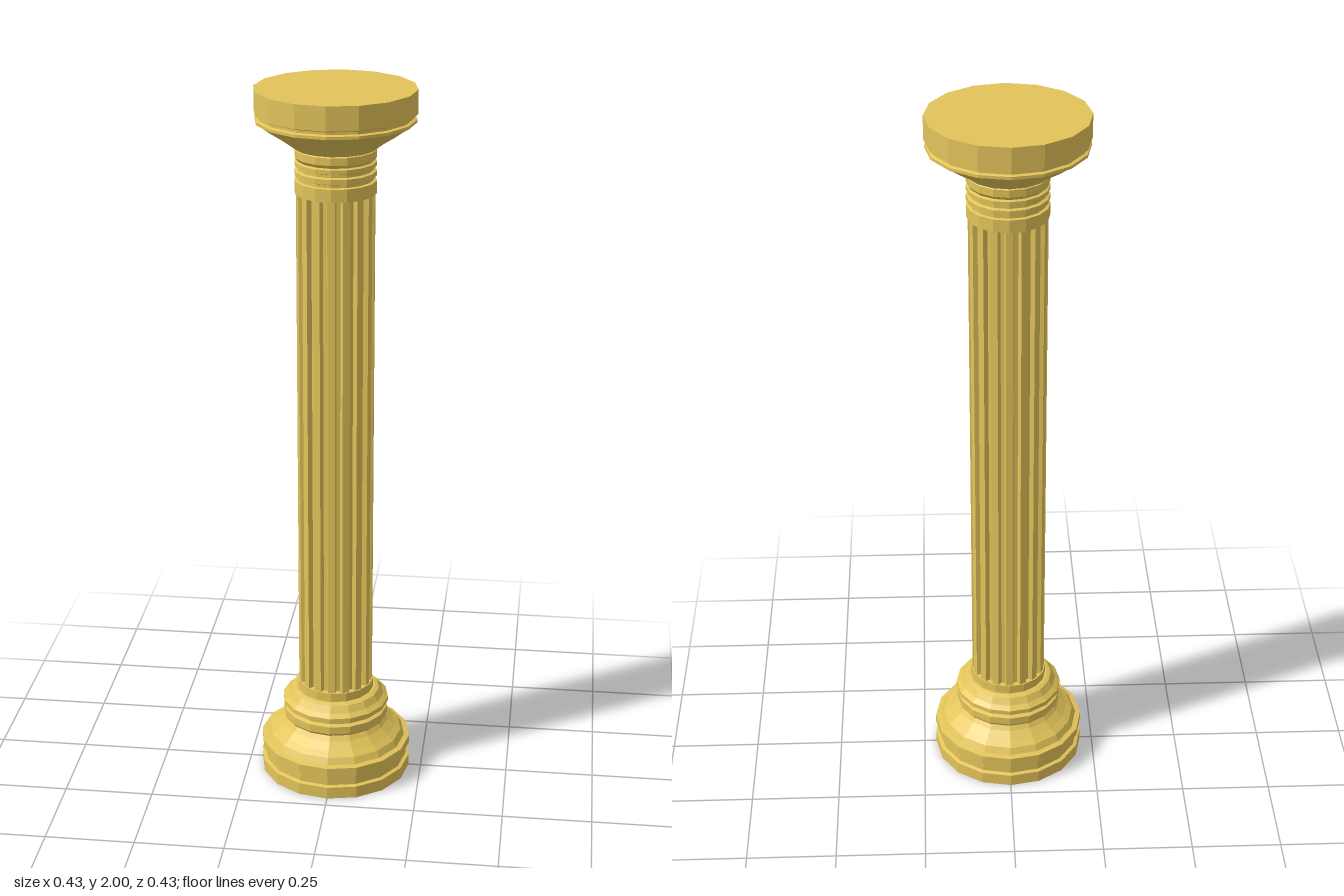
import * as THREE from 'three';

const SIDES = 16;
const gold = new THREE.MeshStandardMaterial({ color: 0xe3c45a, flatShading: true });

// Turned part from [radius, height] pairs, closed at both ends
function turned(name, profile) {
  const first = profile[0], last = profile[profile.length - 1];
  const points = [[0, first[1]], ...profile, [0, last[1]]].map(([r, y]) => new THREE.Vector2(r, y));
  const mesh = new THREE.Mesh(new THREE.LatheGeometry(points, SIDES), gold);
  mesh.name = name;
  return mesh;
}

// Shaft with a flat ridge and a shallow groove on each side
function flutedShaft(bottom, top, ridge, groove) {
  const shape = new THREE.Shape();
  const step = (Math.PI * 2) / SIDES;
  const section = [[-0.24, ridge], [0.24, ridge], [0.36, groove], [0.64, groove]];
  for (let i = 0; i < SIDES; i++) {
    section.forEach(([t, r], k) => {
      const a = (i + t) * step;
      const x = Math.cos(a) * r, y = Math.sin(a) * r;
      if (i === 0 && k === 0) shape.moveTo(x, y);
      else shape.lineTo(x, y);
    });
  }
  shape.closePath();
  const geometry = new THREE.ExtrudeGeometry(shape, { depth: top - bottom, bevelEnabled: false });
  geometry.rotateX(-Math.PI / 2).translate(0, bottom, 0);
  const mesh = new THREE.Mesh(geometry, gold);
  mesh.name = 'flutedShaft';
  return mesh;
}

export function createModel() {
  const column = new THREE.Group();
  column.name = 'column';

  // Stepped plinth and the flare above it
  column.add(turned('plinth', [
    [0.215, 0], [0.215, 0.035], [0.205, 0.038], [0.205, 0.07], [0.215, 0.073], [0.215, 0.097],
    [0.2, 0.1], [0.19, 0.118], [0.172, 0.13], [0.15, 0.148], [0.135, 0.168],
  ]));

  // Double ring and sloped shoulder
  column.add(turned('baseRings', [
    [0.146, 0.165], [0.15, 0.172], [0.15, 0.194], [0.138, 0.198], [0.138, 0.206],
    [0.152, 0.209], [0.152, 0.222], [0.138, 0.232], [0.126, 0.25], [0.115, 0.254],
  ]));
  column.add(turned('lowerCollar', [[0.109, 0.25], [0.109, 0.28]]));

  column.add(flutedShaft(0.27, 1.73, 0.105, 0.092));

  // Neck with narrow grooves
  column.add(turned('neckRings', [
    [0.109, 1.722], [0.109, 1.757], [0.101, 1.759], [0.101, 1.767], [0.109, 1.77],
    [0.109, 1.783], [0.101, 1.786], [0.101, 1.794], [0.109, 1.797], [0.109, 1.808],
    [0.102, 1.811], [0.109, 1.82], [0.109, 1.84], [0.1, 1.846],
  ]));

  // Flared capital with a flat top
  column.add(turned('capital', [
    [0.108, 1.843], [0.118, 1.85], [0.142, 1.868], [0.172, 1.887], [0.2, 1.907],
    [0.213, 1.914], [0.213, 1.922], [0.205, 1.925], [0.205, 1.932], [0.215, 1.936], [0.215, 2],
  ]));

  return column;
}
